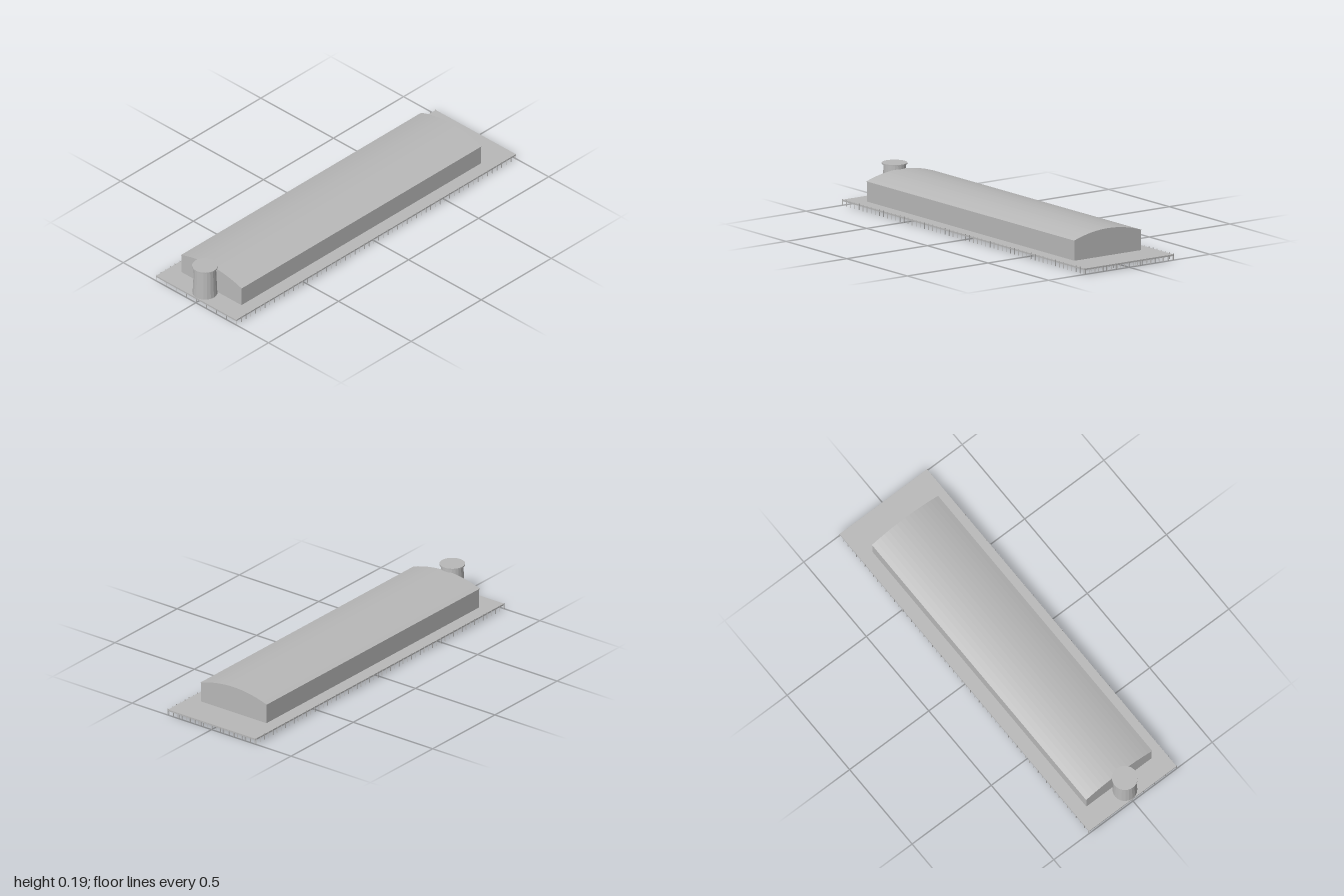
import * as THREE from 'three';

export function createModel() {
  const model = new THREE.Group();
  const grey = new THREE.MeshStandardMaterial({ color: 0xb8b8b8, flatShading: true });
  grey.name = 'concrete grey';

  function add(name, geometry, x = 0, y = 0, z = 0) {
    const mesh = new THREE.Mesh(geometry, grey);
    mesh.name = name;
    mesh.position.set(x, y, z);
    model.add(mesh);
    return mesh;
  }

  // Pier deck
  add('deck', new THREE.BoxGeometry(0.552, 0.008, 1.996), 0, 0.025, 0);

  // Barrel-vault outline shared by hall and roof
  const eave = 0.132, ridge = 0.168;
  function arc(half, lift) {
    const points = [];
    for (let i = 0; i <= 16; i++) {
      const x = half - (2 * half * i) / 16;
      points.push(new THREE.Vector2(x, ridge + lift - (ridge - eave) * (x / 0.209) ** 2));
    }
    return points;
  }
  function extrude(points, back, front) {
    const depth = front - back;
    return new THREE.ExtrudeGeometry(new THREE.Shape(points), { depth, bevelEnabled: false })
      .translate(0, 0, back);
  }

  // Hall body with curved gable ends
  const wall = 0.206;
  add('hall', extrude([
    new THREE.Vector2(-wall, 0.029), new THREE.Vector2(wall, 0.029), ...arc(wall, -0.002),
  ], -0.822, 0.888));

  // Thin curved roof with a slight overhang
  add('roof', extrude([...arc(0.209, 0), ...arc(0.209, -0.002).reverse()], -0.824, 0.89));

  // Tapered round tower with a flat cap
  add('tower', new THREE.CylinderGeometry(0.055, 0.062, 0.158, 20), 0, 0.108, 0.935);
  add('towerCap', new THREE.CylinderGeometry(0.064, 0.064, 0.006, 40), 0, 0.19, 0.935);

  // Piles: nine lines along the deck, with a closer row along the back edge
  const spots = [];
  const rows = 60, columns = 9, backCount = 21;
  for (let r = 0; r < rows; r++) {
    for (let c = 0; c < columns; c++) {
      spots.push([-0.277 + (0.554 * c) / (columns - 1), -0.996 + (1.992 * r) / (rows - 1)]);
    }
  }
  for (let i = 0; i < backCount; i++) {
    spots.push([-0.269 + (0.538 * i) / (backCount - 1), -0.997]);
  }
  const piles = new THREE.Group();
  piles.name = 'piles';
  const outer = new THREE.CylinderGeometry(0.002, 0.002, 0.033, 6).translate(0, 0.0165, 0);
  const inner = new THREE.CylinderGeometry(0.002, 0.002, 0.024, 6).translate(0, 0.012, 0);
  for (const [x, z] of spots) {
    const pile = new THREE.Mesh(Math.abs(x) > 0.275 ? outer : inner, grey);
    pile.name = 'pile';
    pile.position.set(x, 0, z);
    piles.add(pile);
  }
  model.add(piles);

  return model;
}
